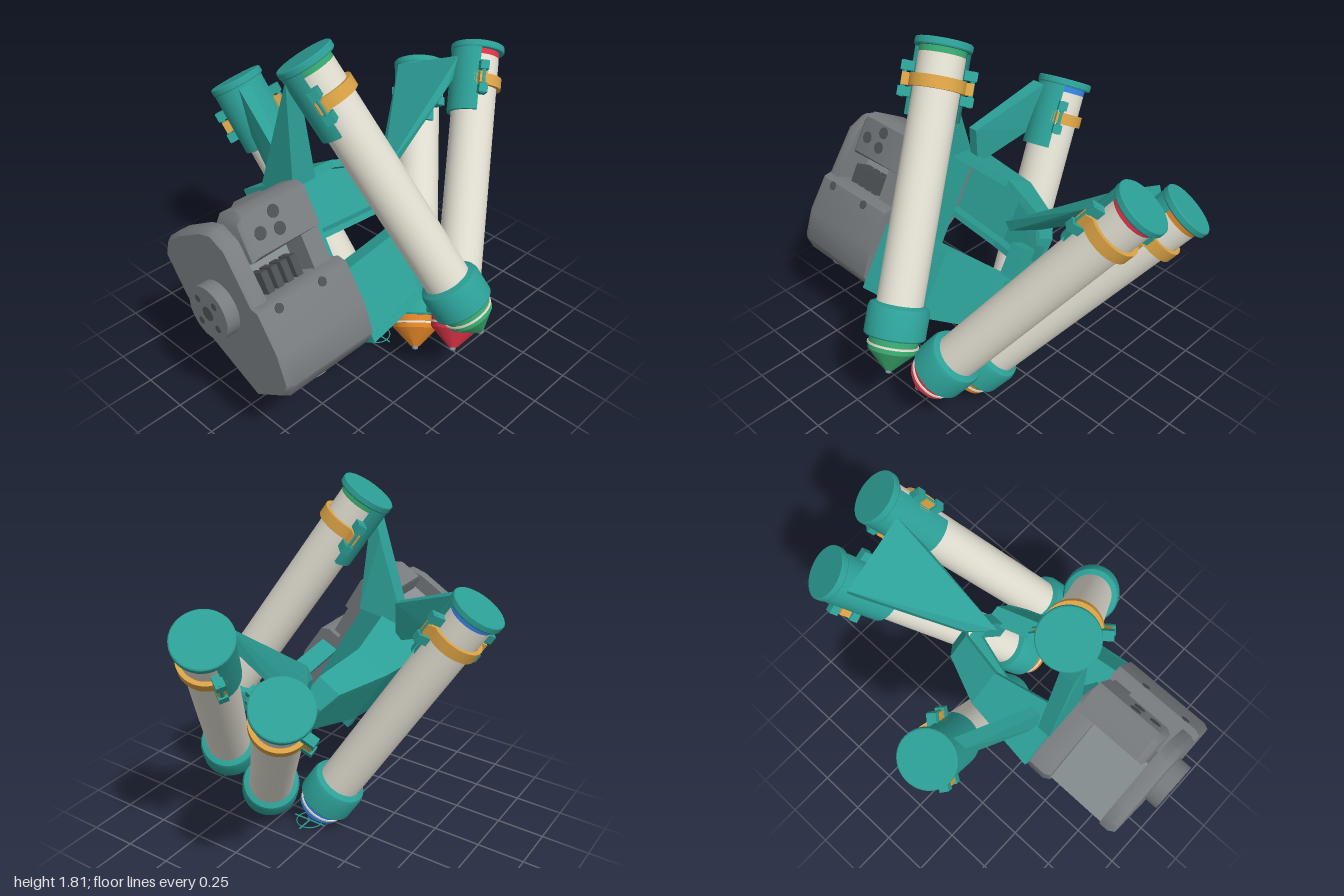
import * as THREE from 'three';
import { toCreasedNormals } from 'three/addons/utils/BufferGeometryUtils.js';
import { ConvexGeometry } from 'three/addons/geometries/ConvexGeometry.js';

const V = (x, y, z) => new THREE.Vector3(x, y, z);
const mat = (name, color, side = THREE.FrontSide) => {
  const m = new THREE.MeshStandardMaterial({ color, side });
  m.name = name;
  return m;
};

export function createModel() {
  const M = {
    teal: mat('teal', 0x2c9f96, THREE.DoubleSide),
    grey: mat('grey', 0x787c7f),
    light: mat('lightGrey', 0x868d90),
    dark: mat('darkGrey', 0x4c5053),
    cream: mat('cream', 0xdfdccf),
    amber: mat('amber', 0xd8a044),
    green: mat('green', 0x37a56c),
    red: mat('red', 0xd83347),
    orange: mat('orange', 0xd88026),
    blue: mat('blue', 0x347fdc),
  };
  const model = new THREE.Group();
  model.name = 'penGripper';

  const add = (parent, name, geo, material, x = 0, y = 0, z = 0) => {
    const mesh = new THREE.Mesh(geo, material);
    mesh.name = name;
    mesh.position.set(x, y, z);
    parent.add(mesh);
    return mesh;
  };
  const hull = (parent, name, pts, material) =>
    add(parent, name, new ConvexGeometry(pts.map(p => V(...p))), material);
  const box = (parent, name, x0, x1, y0, y1, z0, z1, material) =>
    add(parent, name, new THREE.BoxGeometry(x1 - x0, y1 - y0, z1 - z0), material,
      (x0 + x1) / 2, (y0 + y1) / 2, (z0 + z1) / 2);
  // Revolved profile of [radius, height] pairs with crisp edges
  const lathe = (pts, start = 0, sweep = Math.PI * 2, n = 40) =>
    toCreasedNormals(new THREE.LatheGeometry(pts.map(p => new THREE.Vector2(...p)), n, start, sweep), 0.5);
  const ring = (r0, r1, y0, y1, start, sweep) =>
    lathe([[r0, y0], [r1, y0], [r1, y1], [r0, y1], [r0, y0]], start, sweep);

  // ---- Pens, each standing on its tip along a tilted axis ----
  const buildPen = (name, ink, tip, top, holderDir) => {
    const pen = new THREE.Group();
    pen.name = name + 'Pen';
    const a = V(...tip), axis = V(...top).sub(a), L = axis.length();
    axis.normalize();
    const d = V(...holderDir);
    d.addScaledVector(axis, -d.dot(axis)).normalize();
    pen.quaternion.setFromRotationMatrix(
      new THREE.Matrix4().makeBasis(V(0, 0, 0).crossVectors(axis, d), axis, d));
    pen.position.copy(a);
    model.add(pen);

    add(pen, 'nib', lathe([[0, 0], [0.014, 0.006], [0.017, 0.03]]), M.light);
    add(pen, 'tipCone', lathe([[0.016, 0.02], [0.022, 0.02], [0.117, 0.115], [0.12, 0.2]]), ink);
    add(pen, 'tipStripe', ring(0.112, 0.124, 0.138, 0.148), M.cream);
    add(pen, 'collar', lathe([[0.1, 0.18], [0.14, 0.18], [0.148, 0.188], [0.148, 0.31], [0.14, 0.33], [0.113, 0.343]]), M.teal);
    add(pen, 'barrel', new THREE.CylinderGeometry(0.112, 0.112, L - 0.395, 40, 1, true), M.cream, 0, 0.33 + (L - 0.395) / 2, 0);
    add(pen, 'inkBand', new THREE.CylinderGeometry(0.112, 0.112, 0.032, 40, 1, true), ink, 0, L - 0.049, 0);
    add(pen, 'cap', lathe([[0, L - 0.036], [0.134, L - 0.036], [0.138, L - 0.03], [0.138, L - 0.005], [0.133, L], [0, L]]), M.teal);

    // Half-round holder and clamp strap
    add(pen, 'holderShell', ring(0.116, 0.134, L - 0.36, L - 0.03, -1.4, 2.8), M.teal);
    add(pen, 'clampStrap', ring(0.113, 0.134, L - 0.228, L - 0.17, 1.2, Math.PI * 2 - 2.4), M.amber);
    for (const s of [-1, 1]) {
      const lug = new THREE.Group();
      lug.name = 'clampLug';
      lug.rotation.y = s * 1.5;
      pen.add(lug);
      box(lug, 'hingeBlock', -0.022, 0.022, L - 0.28, L - 0.235, 0.115, 0.178, M.teal);
      box(lug, 'hingeBlock', -0.022, 0.022, L - 0.16, L - 0.115, 0.115, 0.178, M.teal);
      add(lug, 'hingePin', new THREE.CylinderGeometry(0.012, 0.012, 0.17, 12), M.teal, 0, L - 0.198, 0.16);
      box(lug, 'strapEnd', -0.02, 0.02, L - 0.228, L - 0.17, 0.115, 0.168, M.amber);
    }
  };
  buildPen('green', M.green, [0.065, 0.423, 0.772], [-0.32, 1.738, -0.005], [-0.65, 0, -0.75]);
  buildPen('red', M.red, [0.065, 0.203, 0.607], [0.885, 1.413, 0.025], [-0.85, 0, -0.5]);
  buildPen('orange', M.orange, [0.065, 0.058, 0.366], [0.87, 1.207, -0.355], [-1, 0, 0.1]);
  buildPen('blue', M.blue, [0.065, 0.01, 0.096], [-0.158, 1.352, -0.695], [-0.6, 0, 0.8]);

  // ---- Arms carrying the holders ----
  hull(model, 'greenArm', [
    [-0.43, 1.13, 0.02], [-0.29, 1.13, 0.02], [-0.43, 1.06, -0.2], [-0.36, 1.06, -0.2],
    [-0.43, 1.66, 0.0], [-0.36, 1.66, 0.0], [-0.42, 1.5, -0.06], [-0.34, 1.5, -0.06]], M.teal);
  hull(model, 'blueArm', [
    [-0.35, 1.0, -0.19], [-0.3, 1.0, -0.19], [-0.35, 1.2, -0.18], [-0.3, 1.2, -0.18],
    [-0.25, 1.14, -0.48], [-0.19, 1.14, -0.48], [-0.25, 1.37, -0.55], [-0.18, 1.37, -0.55]], M.teal);
  hull(model, 'sharedArm', [
    [0.13, 0.97, 0.05], [0.16, 0.93, 0.05], [0.24, 0.98, -0.06], [0.26, 0.93, -0.06],
    [0.73, 1.41, 0.02], [0.74, 1.34, 0.03], [0.6, 1.27, 0.05],
    [0.7, 1.25, -0.36], [0.72, 1.19, -0.36], [0.74, 1.16, -0.28]], M.teal);

  // ---- Tilted wrist frame ----
  const wrist = new THREE.Group();
  wrist.name = 'wrist';
  wrist.position.set(0, 0.74, 0.085);
  wrist.rotation.x = -Math.PI / 6;
  model.add(wrist);

  // Two matching angle brackets, half a turn apart: [x, edge, inner, side, web end]
  const stations = [[-0.42, -0.41, -0.05, 0.27, -0.05], [-0.03, -0.38, -0.03, 0.23, 0.04],
    [0.22, -0.3, -0.03, 0.15, 0.02], [0.28, -0.2, -0.03, 0.13, 0.02]];
  for (const turn of [0, Math.PI]) {
    const jaw = new THREE.Group();
    jaw.name = turn ? 'upperBracket' : 'lowerBracket';
    jaw.rotation.x = turn;
    wrist.add(jaw);
    for (let i = 0; i < 3; i++) {
      const pair = [stations[i], stations[i + 1]];
      hull(jaw, 'sideWall', pair.flatMap(([x, e, n, s]) =>
        [[x, e, s], [x, n, s - 0.01], [x, e, s - 0.035], [x, n, s - 0.04]]), M.teal);
      hull(jaw, 'webPlate', pair.flatMap(([x, e, , s, w]) =>
        [[x, e, s], [x, e + 0.04, s], [x, e, w], [x, e + 0.04, w]]), M.teal);
      hull(jaw, 'wallFlange', pair.flatMap(([x, , n, s]) =>
        [[x, n, s - 0.01], [x, n - 0.03, s - 0.01], [x, n + 0.01, s - 0.11], [x, n - 0.02, s - 0.11]]), M.teal);
    }
  }
  box(wrist, 'centreTongue', 0.2, 0.28, -0.14, 0.14, -0.02, 0.07, M.teal);
  box(wrist, 'tongueRoot', -0.42, -0.37, -0.36, 0.36, -0.15, 0.15, M.teal);

  // Motor housing with rounded lower corner and bevelled outer end
  const profile = [[-0.41, 0.02], [-0.4, 0.23], [-0.35, 0.29], [-0.2, 0.315], [0, 0.3], [0.03, 0.26], [0.03, -0.2], [-0.08, -0.21]];
  const prism = (name, uv, x0, x1, shrink, material) => {
    const section = (x, k) => uv.map(([u, v]) => [x, u * k, v * k]);
    const mesh = hull(wrist, name, [...section(x0, shrink), ...section(x0 + 0.03, 1), ...section(x1, 1)], material);
    mesh.geometry = toCreasedNormals(mesh.geometry, 0.75);
  };
  prism('motorHousing', profile, -0.93, -0.42, 0.96, M.grey);
  prism('outerPlate', [[-0.28, 0], [-0.28, 0.22], [-0.1, 0.28], [0.3, 0.24], [0.38, 0.18], [0.4, 0.1], [0.4, -0.1], [0.38, -0.21], [0.32, -0.27], [0.1, -0.25], [-0.06, -0.18]],
    -0.93, -0.85, 0.95, M.grey);
  prism('innerPlate', [[-0.27, -0.1], [-0.3, 0.2], [0.27, 0.18], [0.36, 0.12], [0.39, -0.15], [0.38, -0.25], [0.32, -0.29], [0.1, -0.28]],
    -0.54, -0.42, 0.96, M.grey);
  box(wrist, 'motorBlock', -0.85, -0.5, -0.05, 0.32, -0.26, 0.1, M.light);
  box(wrist, 'motorPanel', -0.79, -0.57, 0.03, 0.25, -0.266, -0.26, M.grey);
  prism('topBracket', [[0.24, 0.1], [0.2, 0.18], [0.2, 0.26], [0.39, 0.26], [0.42, 0.22], [0.42, 0.1]], -0.83, -0.45, 0.92, M.grey);
  box(wrist, 'bracketPost', -0.55, -0.45, 0, 0.38, 0.1, 0.24, M.grey);
  for (let i = 0; i < 4; i++) box(wrist, 'connectorPin', -0.8 + i * 0.055, -0.765 + i * 0.055, 0.03, 0.13, 0.13, 0.22, M.dark);

  // Bolt holes as thin discs turned to face a direction
  const hole = (x, u, v, r, normal, material = M.dark) => {
    const m = add(wrist, 'boltHole', new THREE.CylinderGeometry(r, r, 0.006, 20), material, x, u, v);
    m.quaternion.setFromUnitVectors(V(0, 1, 0), V(...normal).normalize());
  };
  for (const [x, u] of [[-0.75, 0.29], [-0.65, 0.35], [-0.65, 0.27]]) hole(x, u, 0.26, 0.03, [0, 0, 1]);
  hole(-0.71, -0.406, 0.165, 0.06, [0, -1, 0.05], M.light);
  for (const x of [-0.83, -0.58]) hole(x, -0.02, 0.302, 0.022, [0, 0.08, 1]);

  // Output disc
  const disc = add(wrist, 'outputDisc', new THREE.CylinderGeometry(0.13, 0.13, 0.08, 36), M.grey, -0.958, 0.04, 0.02);
  disc.rotation.z = Math.PI / 2;
  hole(-0.998, 0.04, 0.02, 0.035, [-1, 0, 0]);
  for (let i = 0; i < 4; i++) {
    const t = i * Math.PI / 2 + 0.4;
    hole(-0.998, 0.04 + 0.08 * Math.sin(t), 0.02 + 0.08 * Math.cos(t), 0.018, [-1, 0, 0]);
  }

  // ---- Thin target mark under the lowest tip ----
  const mark = new THREE.Group();
  mark.name = 'targetMark';
  mark.position.set(0.065, 0.003, 0.094);
  model.add(mark);
  add(mark, 'markRing', new THREE.TorusGeometry(0.07, 0.003, 6, 40), M.teal).rotation.x = Math.PI / 2;
  box(mark, 'markBar', -0.095, 0.095, -0.003, 0.003, -0.003, 0.003, M.teal);
  box(mark, 'markBar', -0.003, 0.003, -0.003, 0.003, -0.095, 0.095, M.teal);

  return model;
}
